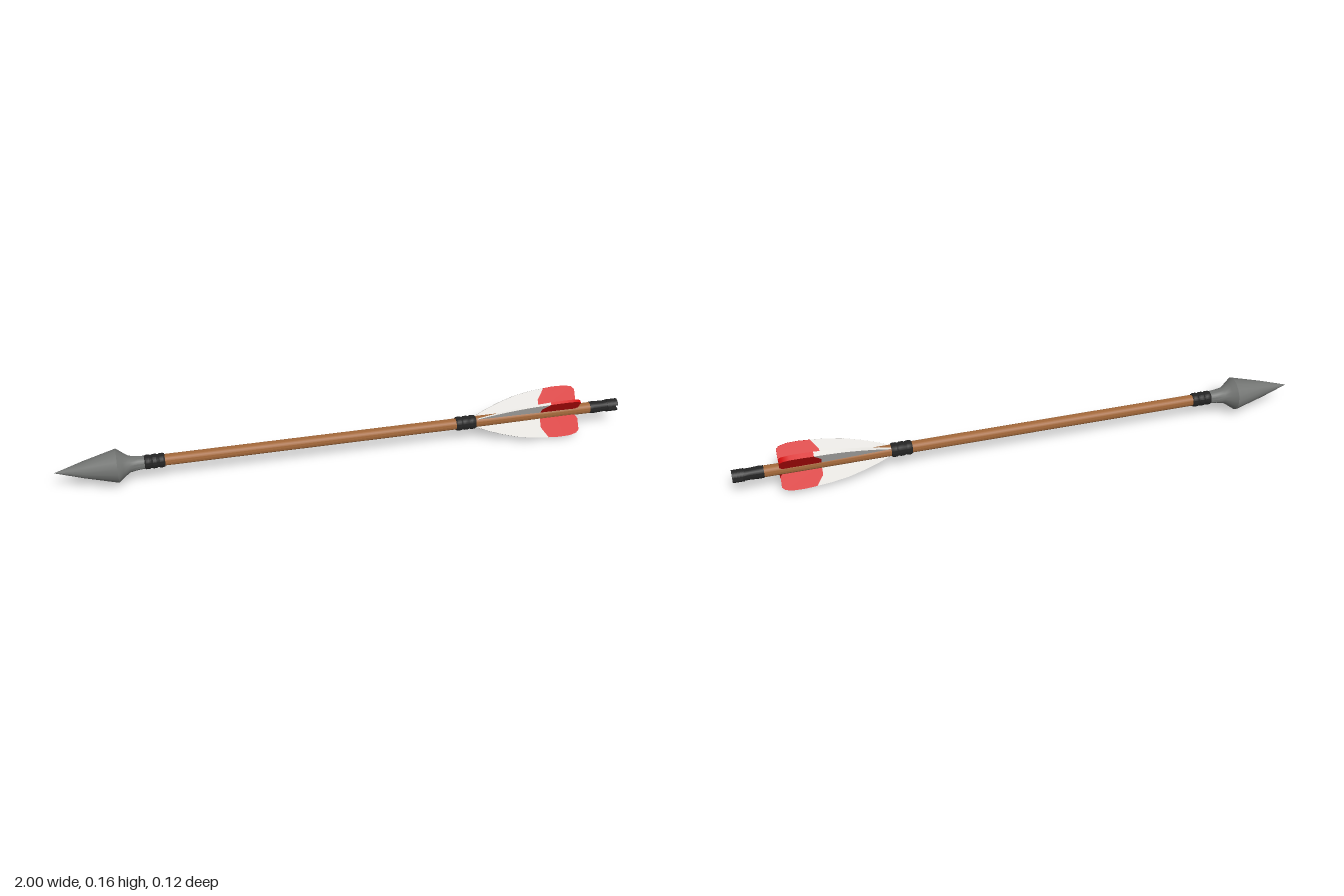
import * as THREE from 'three';
import { toCreasedNormals } from 'three/addons/utils/BufferGeometryUtils.js';

const mat = (name, color) => new THREE.MeshStandardMaterial({ name, color });
const AXIS_Y = 0.08;

// Turned part along x from [x, radius] pairs
function turned(name, pts, material, sides = 16) {
  const lathe = new THREE.LatheGeometry(pts.map(([x, r]) => new THREE.Vector2(r, x)), sides);
  lathe.rotateZ(-Math.PI / 2);
  const mesh = new THREE.Mesh(toCreasedNormals(lathe, 0.6), material);
  mesh.name = name;
  return mesh;
}

// Cord binding made of a few rounded turns
function binding(name, x0, x1, r, material) {
  const pts = [[x0, 0]];
  const turns = 3, step = (x1 - x0) / turns;
  for (let i = 0; i < turns; i++) {
    const x = x0 + i * step;
    pts.push([x, r - 0.003], [x + step * 0.25, r], [x + step * 0.75, r]);
  }
  pts.push([x1, r - 0.003], [x1, 0]);
  return turned(name, pts, material);
}

// Part of a vane: x runs along the shaft, y outwards; thickness grows to the rear
function vanePart(name, outline, height, thickness, material) {
  const shape = new THREE.Shape(outline.map(([x, y]) => new THREE.Vector2(x, y * height)));
  const geo = new THREE.ExtrudeGeometry(shape, { depth: 1, bevelEnabled: false });
  const p = geo.attributes.position;
  for (let i = 0; i < p.count; i++) {
    const t = THREE.MathUtils.clamp((p.getX(i) - 0.46) / 0.28, 0, 1);
    p.setZ(i, (p.getZ(i) - 0.5) * thickness * (0.35 + 0.65 * t));
  }
  geo.computeVertexNormals();
  const mesh = new THREE.Mesh(toCreasedNormals(geo, 0.6), material);
  mesh.name = name;
  return mesh;
}

export function createModel() {
  const wood = mat('wood', 0xa3683a);
  const steel = mat('steel', 0x737573);
  const cord = mat('black cord', 0x242424);
  const white = mat('white feather', 0xdedcd8);
  const red = mat('red feather', 0xd40c0c);

  const arrow = new THREE.Group();
  arrow.name = 'arrow';
  const body = new THREE.Group();
  body.name = 'arrowBody';
  body.position.y = AXIS_Y;
  arrow.add(body);

  // Shaft, head and bindings
  body.add(
    turned('shaft', [[-0.68, 0], [-0.68, 0.02], [0.9, 0.02], [0.9, 0]], wood),
    turned('arrowhead', [[-1, 0], [-0.9, 0.03], [-0.79, 0.059], [-0.772, 0.045], [-0.75, 0.029],
      [-0.72, 0.024], [-0.69, 0.022], [-0.69, 0]], steel),
    binding('frontBinding', -0.7, -0.63, 0.025, cord),
    binding('rearBinding', 0.395, 0.467, 0.025, cord),
    turned('nock', [[0.895, 0], [0.895, 0.021], [0.91, 0.022], [0.945, 0.02], [0.965, 0.021], [0.965, 0]], cord)
  );

  // Two prongs of the nock, with the string slot between them
  for (const side of [1, -1]) {
    const a = 0.35;
    const segment = new THREE.Shape();
    segment.absarc(0, 0, 0.022, a, Math.PI - a, false);
    segment.closePath();
    const geo = new THREE.ExtrudeGeometry(segment, { depth: 0.04, bevelEnabled: false, curveSegments: 8 });
    geo.rotateY(Math.PI / 2);
    const prong = new THREE.Mesh(geo, cord);
    prong.name = side > 0 ? 'upperProng' : 'lowerProng';
    prong.position.x = 0.96;
    prong.rotation.x = side > 0 ? 0 : Math.PI;
    body.add(prong);
  }

  // Four vanes, alternating a thick and a thin pair
  const whiteOutline = [[0.465, 0.12], [0.705, 0.12], [0.705, 0.55], [0.73, 0.97], [0.68, 0.92],
    [0.62, 0.81], [0.56, 0.62], [0.51, 0.42], [0.465, 0.2]];
  const redOutline = [[0.705, 0.12], [0.83, 0.12], [0.845, 0.35], [0.845, 0.8], [0.835, 0.92],
    [0.81, 0.99], [0.77, 1], [0.73, 0.97], [0.705, 0.55]];
  const vanes = [
    ['backUpperVane', -34, 0.091, 0.018],
    ['frontLowerVane', 146, 0.091, 0.017],
    ['frontUpperVane', 33, 0.082, 0.01],
    ['backLowerVane', 213, 0.08, 0.009]
  ];
  for (const [name, angle, height, thickness] of vanes) {
    const vane = new THREE.Group();
    vane.name = name;
    vane.add(
      vanePart('whiteVane', whiteOutline, height, thickness, white),
      vanePart('redVaneTip', redOutline, height, thickness, red)
    );
    vane.rotation.x = THREE.MathUtils.degToRad(angle);
    body.add(vane);
  }
  return arrow;
}
